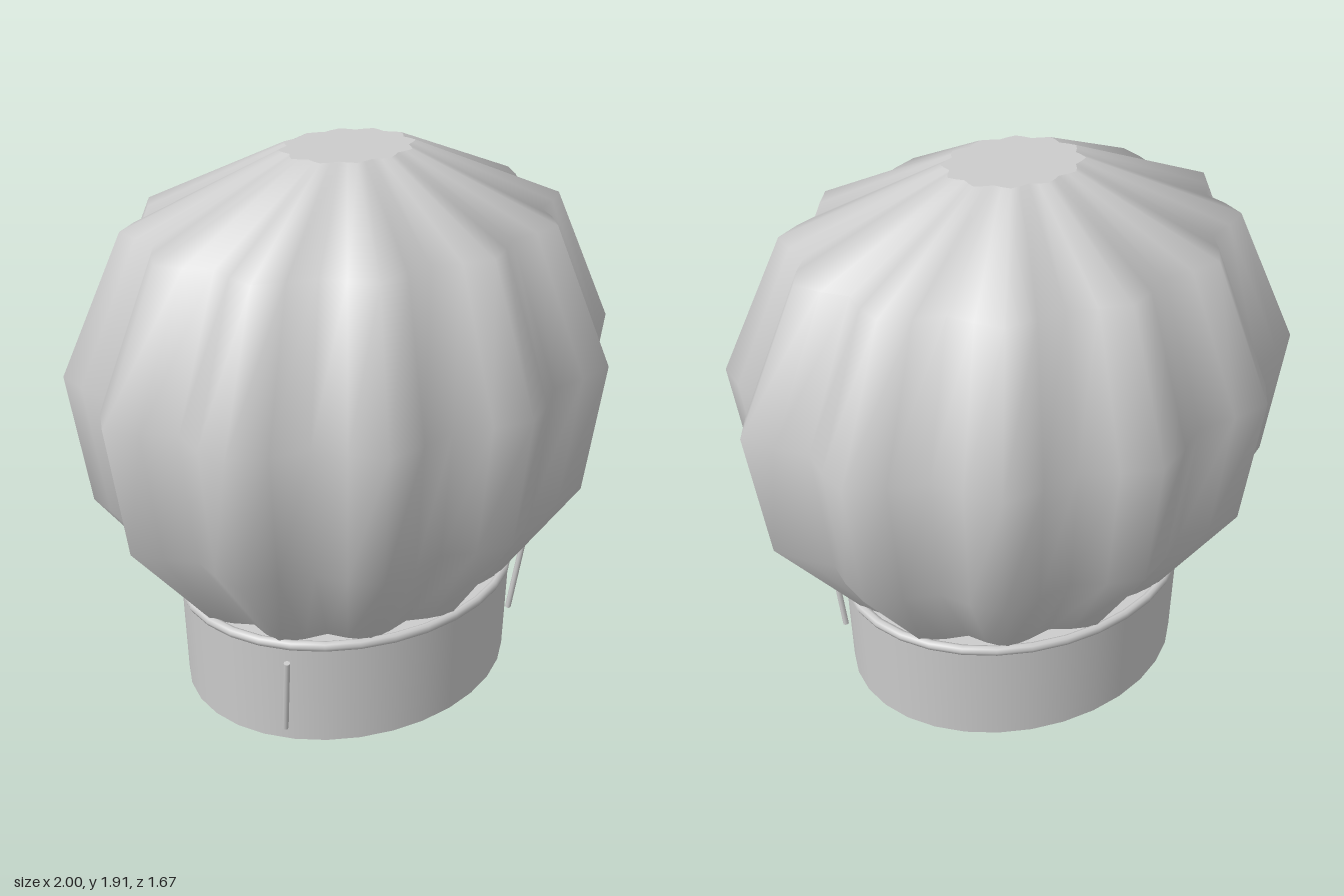
import * as THREE from 'three';

const DEPTH = 0.835; // oval plan: depth relative to width

// Scalloped outline: 12 pleats, peaks at 0, 30, 60... degrees
function pleatPoint(i, count, radius, y) {
  const a = (i / count) * Math.PI * 2;
  const r = radius * (0.945 + 0.055 * Math.cos(12 * a));
  return new THREE.Vector3(r * Math.cos(a), y, -r * Math.sin(a) * DEPTH);
}

// Smooth pleated surface lofted through the profile rings
function pleatedGeometry(profile, count) {
  const pos = [], index = [];
  for (const [r, y] of profile)
    for (let i = 0; i < count; i++) pos.push(...pleatPoint(i, count, r, y).toArray());
  for (let j = 0; j < profile.length - 1; j++)
    for (let i = 0; i < count; i++) {
      const n = (i + 1) % count;
      const a = j * count + i, b = j * count + n;
      const c = a + count, d = b + count;
      index.push(a, b, d, a, d, c);
    }
  const g = new THREE.BufferGeometry();
  g.setAttribute('position', new THREE.Float32BufferAttribute(pos, 3));
  g.setIndex(index);
  g.computeVertexNormals();
  return g;
}

// Flat cap following the scalloped outline
function capGeometry(radius, y, count) {
  const pos = [0, y, 0], index = [];
  for (let i = 0; i < count; i++) {
    pos.push(...pleatPoint(i, count, radius, y).toArray());
    index.push(0, i + 1, ((i + 1) % count) + 1);
  }
  const g = new THREE.BufferGeometry();
  g.setAttribute('position', new THREE.Float32BufferAttribute(pos, 3));
  g.setIndex(index);
  g.computeVertexNormals();
  return g;
}

export function createModel() {
  const cloth = new THREE.MeshStandardMaterial({ color: 0xcccccc });
  cloth.name = 'light grey cloth';
  const hat = new THREE.Group();
  hat.name = 'pleatedHat';
  const add = (name, geometry) => {
    const mesh = new THREE.Mesh(geometry, cloth);
    mesh.name = name;
    hat.add(mesh);
    return mesh;
  };

  // Puffed crown, bottom to top
  const profile = [[0.62, 0.38], [0.93, 0.76], [1, 1.22], [0.78, 1.69], [0.24, 1.91]];
  add('crown', pleatedGeometry(profile, 48));
  add('crownTop', capGeometry(0.24, 1.91, 48));

  // Oval head band
  const band = new THREE.CylinderGeometry(0.635, 0.622, 0.385, 32);
  band.scale(1, 1, 0.85).translate(0, 0.1925, 0);
  add('headBand', band);

  // Piping where the crown meets the band
  const piping = new THREE.TorusGeometry(0.628, 0.018, 8, 32);
  piping.rotateX(Math.PI / 2).scale(1, 1, 0.85).translate(0, 0.383, 0);
  add('piping', piping);

  // Slim slanted pins standing off the front corners of the band
  for (const side of [1, -1]) {
    const bottom = new THREE.Vector3(side * 0.558, 0.07, 0.297);
    const top = new THREE.Vector3(side * 0.578, 0.358, 0.336);
    const dir = top.clone().sub(bottom);
    const pin = add(side > 0 ? 'leftPin' : 'rightPin',
      new THREE.CylinderGeometry(0.011, 0.011, dir.length(), 8));
    pin.position.copy(bottom).add(top).multiplyScalar(0.5);
    pin.quaternion.setFromUnitVectors(new THREE.Vector3(0, 1, 0), dir.normalize());
  }
  return hat;
}
